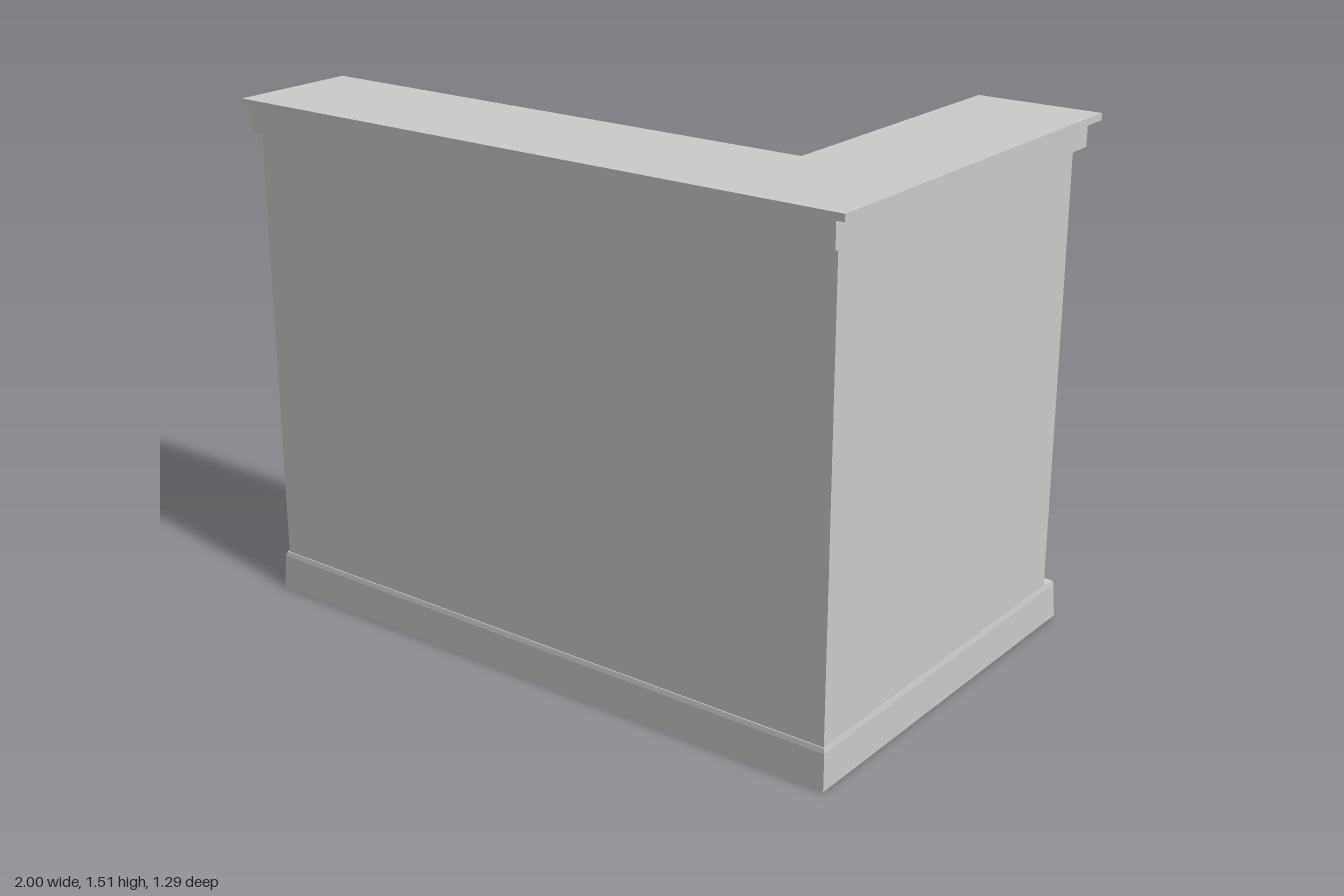
import * as THREE from 'three';

const material = new THREE.MeshStandardMaterial({ color: 0xcccccc, flatShading: true });

// Corners of an L-shaped plan [x, z]: long run along x, wing towards -z
const plan = (xl, xr, zf, zi, xi, ze) =>
  [[xl, zf], [xr, zf], [xr, ze], [xi, ze], [xi, zi], [xl, zi]];

// Raise a plan outline between two heights
function slab(points, y0, y1) {
  const shape = new THREE.Shape(points.map(([x, z]) => new THREE.Vector2(x, -z)));
  const g = new THREE.ExtrudeGeometry(shape, { depth: y1 - y0, bevelEnabled: false });
  return g.rotateX(-Math.PI / 2).translate(0, y0, 0);
}

// Join plan outlines at successive heights into walls
function loft(rings) {
  const pos = [];
  const at = ([pts, y], i) => [pts[i % pts.length][0], y, pts[i % pts.length][1]];
  for (let k = 0; k < rings.length - 1; k++) {
    for (let i = 0; i < rings[k][0].length; i++) {
      const a = at(rings[k], i), b = at(rings[k], i + 1);
      const c = at(rings[k + 1], i + 1), d = at(rings[k + 1], i);
      pos.push(...a, ...b, ...c, ...a, ...c, ...d);
    }
  }
  const g = new THREE.BufferGeometry();
  g.setAttribute('position', new THREE.Float32BufferAttribute(pos, 3));
  g.computeVertexNormals();
  return g;
}

export function createModel() {
  const model = new THREE.Group();
  model.name = 'cornerBookcase';
  const add = (name, geometry, parent = model) => {
    const mesh = new THREE.Mesh(geometry, material);
    mesh.name = name;
    parent.add(mesh);
    return mesh;
  };

  // Top board and the frieze below it
  add('topBoard', slab(plan(-1, 1, 0.64, 0.25, 0.62, -0.65), 1.495, 1.515));
  add('frieze', slab(plan(-0.98, 0.97, 0.63, 0.27, 0.64, -0.63), 1.42, 1.495));

  // Carcass: back panels, posts and end panels share one notched plan
  const carcass = [
    [-0.96, 0.61], [0.965, 0.61], [0.965, -0.56], [0.675, -0.56],
    [0.675, -0.48], [0.915, -0.48], [0.915, 0.25], [0.675, 0.25], // wing bay
    [0.675, 0.31], [0.61, 0.31],
    [0.61, 0.555], [-0.135, 0.555], [-0.135, 0.31], [-0.22, 0.31], // wide bay
    [-0.22, 0.555], [-0.89, 0.555], [-0.89, 0.31], [-0.96, 0.31], // end bay
  ];
  add('carcass', slab(carcass, 0.12, 1.42));

  // Bottom board closing the bays
  const body = plan(-0.96, 0.965, 0.61, 0.31, 0.675, -0.56);
  add('bottomBoard', slab(body, 0.095, 0.12));

  // Hollow plinth: tapered on the open sides, nearly straight on the outer ones
  const foot = plan(-0.985, 0.97, 0.615, 0.262, 0.632, -0.63);
  const footInside = plan(-0.965, 0.955, 0.6, 0.282, 0.652, -0.61);
  const shoulder = plan(-0.973, 0.97, 0.615, 0.278, 0.647, -0.614);
  const lip = plan(-0.967, 0.968, 0.613, 0.285, 0.654, -0.606);
  add('plinth', loft([
    [plan(-0.955, 0.955, 0.6, 0.3, 0.668, -0.595), 0.1],
    [footInside, 0], [foot, 0], [shoulder, 0.108], [lip, 0.123], [body, 0.123],
  ]));

  // Shelves, listed by bay: x range, z range, heights of the top faces
  const thickness = 0.025;
  const bays = [
    ['wingShelf', [0.685, 0.915], [-0.48, 0.25], [1.22, 0.995, 0.64, 0.425]],
    ['wideBayShelf', [-0.135, 0.61], [0.32, 0.555], [1.287, 0.95, 0.762, 0.39]],
    ['endBayShelf', [-0.89, -0.22], [0.32, 0.555], [1.09, 0.915, 0.638, 0.457]],
  ];
  const shelves = new THREE.Group();
  shelves.name = 'shelves';
  model.add(shelves);
  for (const [name, [x0, x1], [z0, z1], heights] of bays) {
    for (const y of heights) {
      add(name, new THREE.BoxGeometry(x1 - x0, thickness, z1 - z0), shelves)
        .position.set((x0 + x1) / 2, y - thickness / 2, (z0 + z1) / 2);
    }
  }
  return model;
}
